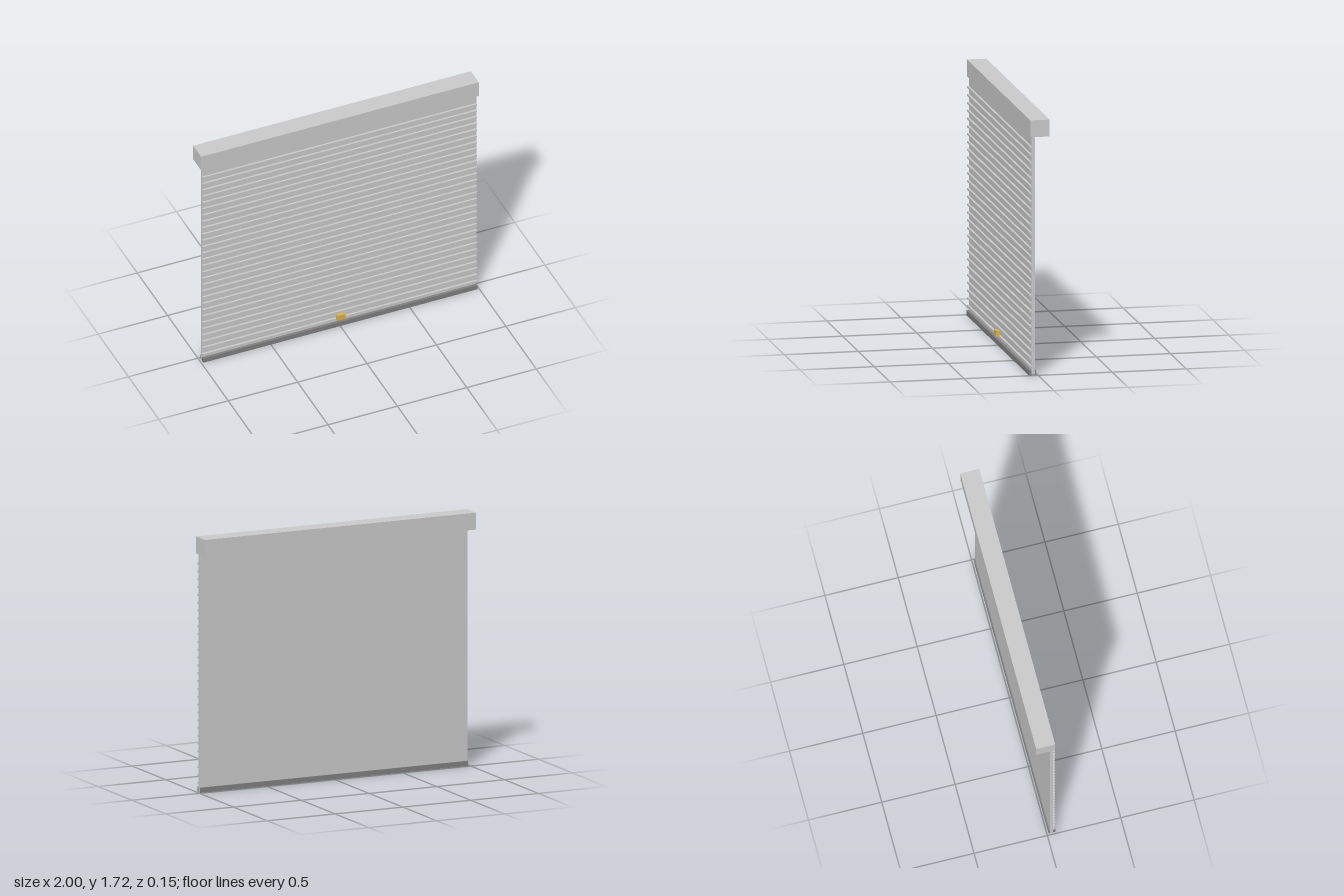
import * as THREE from 'three';

const grey = new THREE.MeshStandardMaterial({ color: 0xcccccc });
const darkGrey = new THREE.MeshStandardMaterial({ color: 0x808080 });
const brass = new THREE.MeshStandardMaterial({ color: 0xd9b44a });

// Box given by its width (centred on x) and its y and z ranges
function addBox(group, name, width, [y0, y1], [z0, z1], material = grey) {
  const mesh = new THREE.Mesh(new THREE.BoxGeometry(width, y1 - y0, z1 - z0), material);
  mesh.position.set(0, (y0 + y1) / 2, (z0 + z1) / 2);
  mesh.name = name;
  group.add(mesh);
}

export function createModel() {
  const model = new THREE.Group();
  model.name = 'rollerShutter';

  // Housing for the roll, and the flat curtain hanging from it
  addBox(model, 'housing', 2, [1.608, 1.722], [-0.077, 0.053]);
  addBox(model, 'curtain', 1.976, [0.004, 1.61], [0.02, 0.041]);

  // Evenly spaced horizontal ribs on the front of the curtain
  const ribs = new THREE.Group();
  ribs.name = 'ribs';
  const count = 29;
  for (let i = 0; i < count; i++) {
    const y = 0.0615 + (i * (1.538 - 0.0615)) / (count - 1);
    addBox(ribs, 'rib', 1.976, [y - 0.0065, y + 0.0065], [0.04, 0.055]);
  }
  model.add(ribs);

  // Dark bar along the bottom edge
  addBox(model, 'bottomBar', 1.974, [0, 0.034], [0.012, 0.06], darkGrey);

  // Small lock just above the bar
  addBox(model, 'lock', 0.06, [0.063, 0.103], [0.053, 0.077], brass);

  return model;
}
